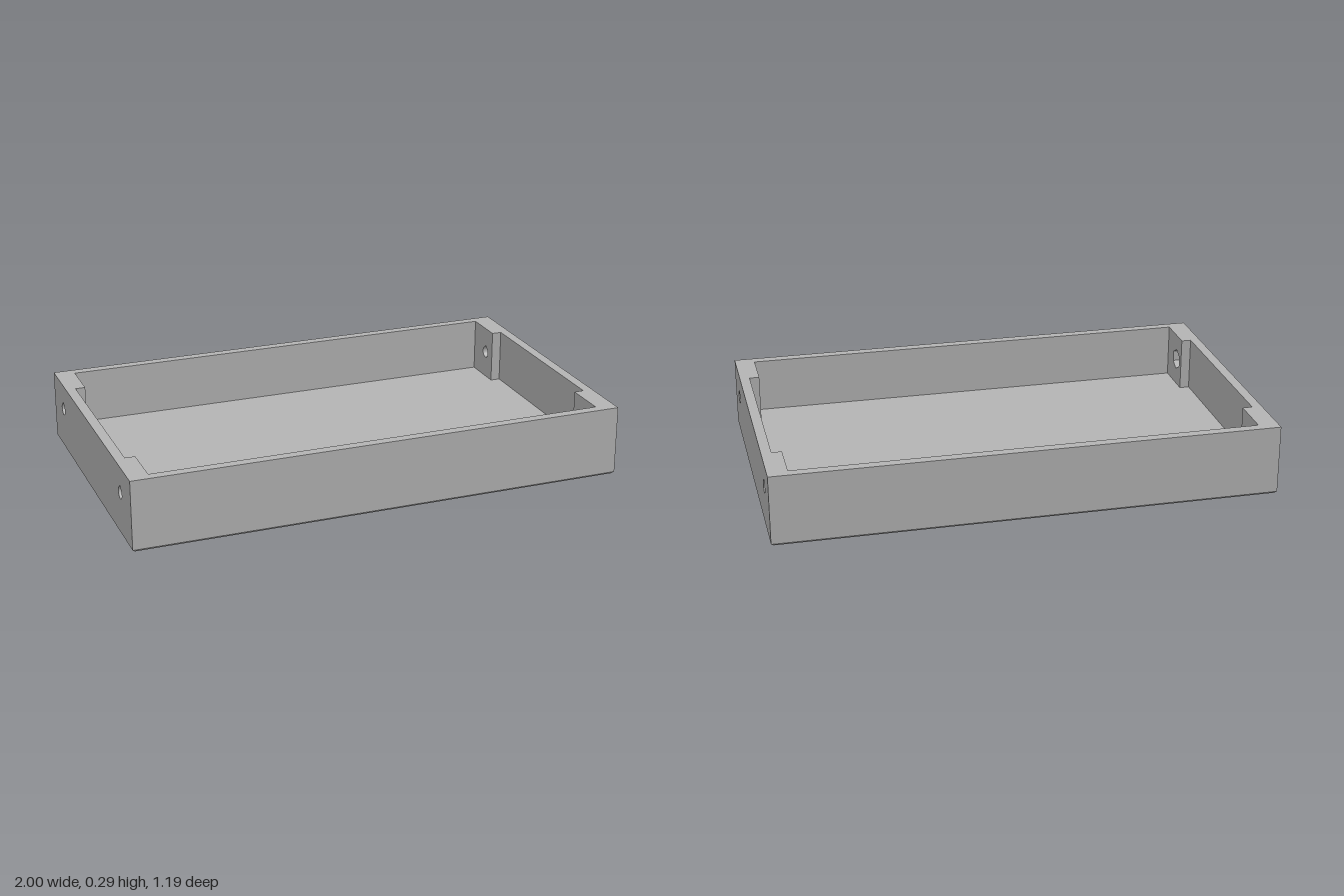
import * as THREE from 'three';

const X = 1, Z = 0.596, H = 0.287;        // outer half sizes and height
const CHAMFER = 0.01, FLOOR = 0.067;
const XI = 0.96, XP = 0.92, ZI = 0.557;   // inner walls, corner pillars
const ZP = 0.381;                         // inner edge of the pillars
const HOLE_Z = 0.446, HOLE_Y = 0.178, HOLE_R = 0.0238;
const NUT_R = 0.044, NUT_DEPTH = 0.035;

export function createModel() {
  const group = new THREE.Group();
  const grey = new THREE.MeshStandardMaterial({ color: 0xb3b3b3, side: THREE.DoubleSide });
  const add = (name, geometry) => {
    const mesh = new THREE.Mesh(geometry, grey);
    mesh.name = name;
    group.add(mesh);
    return mesh;
  };

  const rect = (a0, b0, a1, b1) => [[a0, b0], [a1, b0], [a1, b1], [a0, b1]];
  const vectors = (pts) => pts.map(([a, b]) => new THREE.Vector2(a, b));

  // Flat face from an outline with cut-outs
  const face = (outline, holes = []) => {
    const shape = new THREE.Shape(vectors(outline));
    holes.forEach((h) => shape.holes.push(new THREE.Path(vectors(h))));
    return new THREE.ShapeGeometry(shape);
  };
  const level = (outline, holes, y) => face(outline, holes).rotateX(-Math.PI / 2).translate(0, y, 0);
  const upright = (outline, holes, x) => face(outline, holes).rotateY(-Math.PI / 2).translate(x, 0, 0);

  // Flat-shaded quads joining a path at depth d0 to the same path at d1
  const strip = (path, d0, d1, place, closed = true) => {
    const out = [];
    const n = path.length;
    for (let i = 0; i < (closed ? n : n - 1); i++) {
      const p = path[i], q = path[(i + 1) % n];
      const a = place(p, d0), b = place(q, d0), c = place(q, d1), d = place(p, d1);
      out.push(...a, ...b, ...c, ...a, ...c, ...d);
    }
    const g = new THREE.BufferGeometry();
    g.setAttribute('position', new THREE.Float32BufferAttribute(out, 3));
    g.computeVertexNormals();
    return g;
  };
  const vertical = ([x, z], y) => [x, y, z];
  const sideways = ([z, y], x) => [x, y, z];

  // Screw hole with a pointed roof, and hexagonal nut pocket
  const screwHole = (z) => {
    const pts = [[z, HOLE_Y + HOLE_R * 1.3]];
    const half = Math.acos(1 / 1.3);
    for (let i = 0; i <= 28; i++) {
      const t = Math.PI / 2 + half + (i / 28) * (2 * Math.PI - 2 * half);
      pts.push([z + HOLE_R * Math.cos(t), HOLE_Y + HOLE_R * Math.sin(t)]);
    }
    return pts;
  };
  const nutPocket = (z) => Array.from({ length: 6 }, (_, i) => {
    const t = Math.PI / 2 + (i * Math.PI) / 3;
    return [z + NUT_R * Math.cos(t), HOLE_Y + NUT_R * Math.sin(t)];
  });

  // Rim and floor share the stepped cavity outline
  const cavity = [
    [XP, -ZI], [XP, -ZP], [XI, -ZP], [XI, ZP], [XP, ZP], [XP, ZI],
    [-XP, ZI], [-XP, ZP], [-XI, ZP], [-XI, -ZP], [-XP, -ZP], [-XP, -ZI],
  ];
  add('rim', level(rect(-X, -Z, X, Z), [cavity], H));
  add('floor', level(cavity, [], FLOOR));

  // Underside with chamfered edges
  const foot = rect(-X + CHAMFER, -Z + CHAMFER, X - CHAMFER, Z - CHAMFER);
  add('underside', level(foot, [], 0));
  const place = ([sx, sz], y) => [sx * (X - CHAMFER + y), y, sz * (Z - CHAMFER + y)];
  add('bottomChamfer', strip(rect(-1, -1, 1, 1), 0, CHAMFER, place));

  // Long walls, outside and inside
  for (const s of [1, -1]) {
    const name = s > 0 ? 'front' : 'back';
    add(name + 'WallOutside', strip([[-X, s * Z], [X, s * Z]], CHAMFER, H, vertical, false));
    add(name + 'WallInside', strip([[XP, s * ZI], [-XP, s * ZI]], FLOOR, H, vertical, false));
  }

  // End walls with corner pillars and screw holes
  for (const s of [1, -1]) {
    const name = s > 0 ? 'left' : 'right';
    const holes = [-HOLE_Z, HOLE_Z].map(screwHole);
    add(name + 'EndOutside', upright(rect(-Z, CHAMFER, Z, H), holes, s * X));
    const inner = [[s * XP, -ZP], [s * XI, -ZP], [s * XI, ZP], [s * XP, ZP]];
    add(name + 'EndInside', strip(inner, FLOOR, H, vertical, false));

    for (const t of [1, -1]) {
      const z = t * HOLE_Z;
      const hole = screwHole(z), nut = nutPocket(z);
      const hasNut = s < 0;
      const z0 = Math.min(t * ZP, t * ZI), z1 = Math.max(t * ZP, t * ZI);
      add(name + 'Pillar', upright(rect(z0, FLOOR, z1, H), [hasNut ? nut : hole], s * XP));
      const end = s * (hasNut ? XP + NUT_DEPTH : XP);
      add(name + 'ScrewHole', strip(hole, s * X, end, sideways));
      if (hasNut) {
        add('nutPocketWall', strip(nut, end, s * XP, sideways));
        add('nutPocketSeat', upright(nut, [hole], end));
      }
    }
  }
  return group;
}
